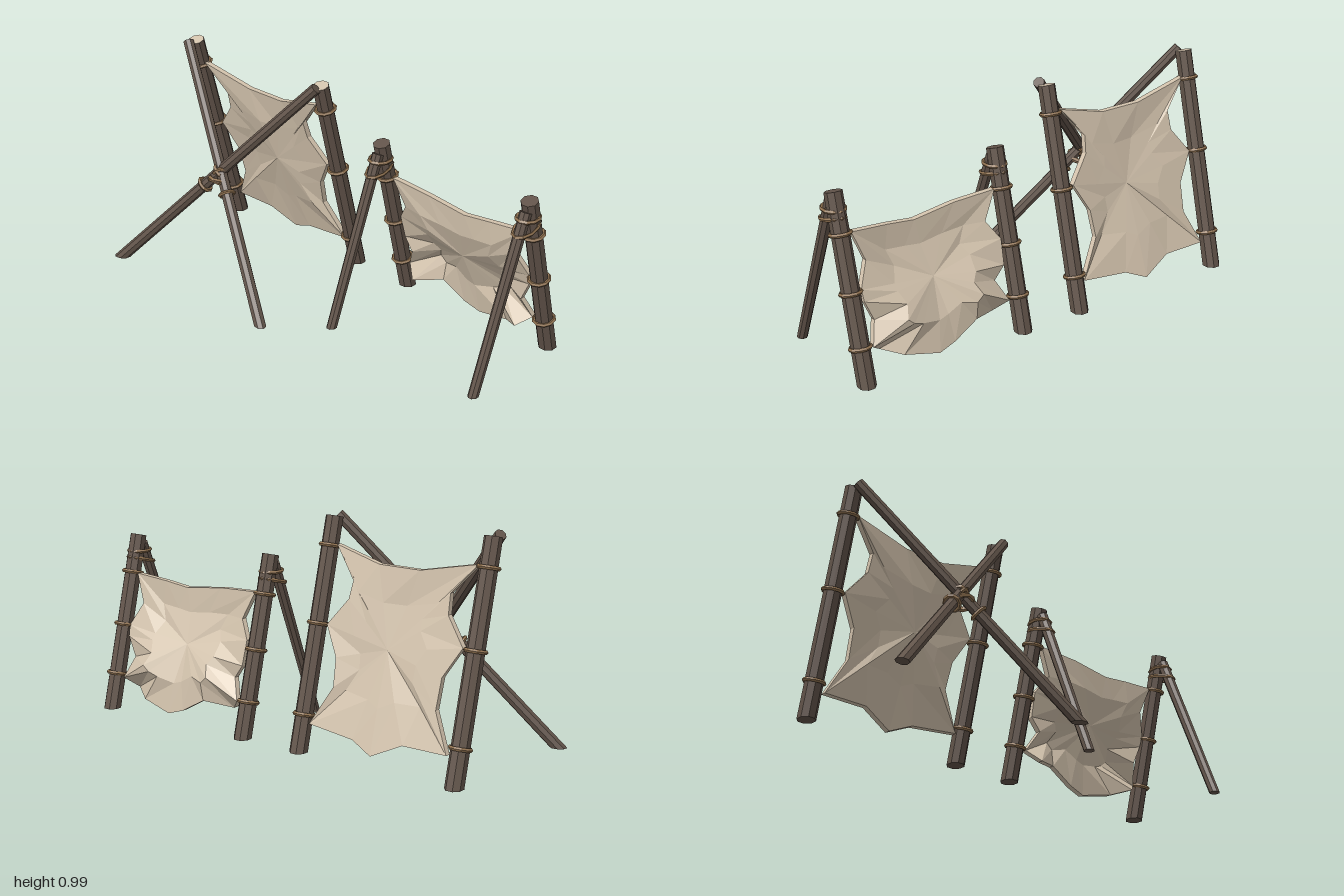
import * as THREE from 'three';

const mat = (name, color, extra = {}) => {
  const m = new THREE.MeshStandardMaterial({ color, flatShading: true, ...extra });
  m.name = name;
  return m;
};
const V = (x, y, z) => new THREE.Vector3(x, y, z);
const UP = V(0, 1, 0);

// all uprights and cloths lean along the same line
const LEAN = 0.258;
const leanX = (y) => 0.35 - LEAN * y;
const LEAN_DIR = V(-LEAN, 1, 0).normalize();

export function createModel() {
  const wood = mat('dark wood', 0x62544a);
  const rope = mat('rope', 0x8f7150);
  const hide = mat('pale hide', 0xd3c3ad, { side: THREE.DoubleSide });
  const cutWood = mat('cut wood', 0xd3c3ad);
  const root = new THREE.Group();
  root.name = 'hideRacks';

  const add = (parent, name, geo, material) => {
    const m = new THREE.Mesh(geo, material);
    m.name = name;
    parent.add(m);
    return m;
  };

  // round pole from foot to top, its foot cut level with the ground
  function pole(parent, name, foot, top, rFoot, rTop, capMat = wood) {
    const dir = top.clone().sub(foot);
    const len = dir.length();
    dir.normalize();
    const geo = new THREE.CylinderGeometry(rTop, rFoot, len, 8);
    geo.rotateY(Math.PI / 8);
    geo.translate(0, len / 2, 0);
    geo.applyQuaternion(new THREE.Quaternion().setFromUnitVectors(UP, dir));
    geo.translate(foot.x, foot.y, foot.z);
    const p = geo.attributes.position;
    for (let i = 0; i < p.count; i++) {
      const y = p.getY(i);
      if (y > 0.1) continue;
      const k = -y / dir.y;
      p.setXYZ(i, p.getX(i) + dir.x * k, 0, p.getZ(i) + dir.z * k);
    }
    geo.computeVertexNormals();
    return add(parent, name, geo, [wood, capMat, wood]);
  }

  // rope loop around an axis; rx and rz are its half widths
  function loop(parent, name, at, axis, rx, rz = rx, tube = 0.009) {
    const geo = new THREE.TorusGeometry(1, tube / rx, 5, 10);
    geo.rotateX(Math.PI / 2);
    geo.scale(rx, tube / (tube / rx), rz);
    geo.applyQuaternion(new THREE.Quaternion().setFromUnitVectors(UP, axis));
    geo.translate(at.x, at.y, at.z);
    return add(parent, name, geo, rope);
  }

  // thick stretched hide: outline [z, y, offset], sinking or bulging by a rule
  function hideSheet(parent, name, outline, cz, cy, bulge) {
    const n = outline.length, half = 0.013;
    const rings = [1, 0.55, 0].map((s) => outline.map(([z, y, d = 0]) => {
      const pz = cz + (z - cz) * s, py = cy + (y - cy) * s;
      return V(leanX(py) + (s === 1 ? d : bulge(pz, py)), py, pz);
    }));
    const pos = [];
    const tri = (...pts) => pts.forEach(([v, off]) => pos.push(v.x + off, v.y, v.z));
    for (let i = 0; i < n; i++) {
      const j = (i + 1) % n;
      for (const [off, flip] of [[half, false], [-half, true]]) {
        const face = (a, b, c) => (flip ? tri([a, off], [c, off], [b, off]) : tri([a, off], [b, off], [c, off]));
        face(rings[0][j], rings[0][i], rings[1][i]);
        face(rings[0][j], rings[1][i], rings[1][j]);
        face(rings[1][j], rings[1][i], rings[2][0]);
      }
      // rim
      const a = rings[0][i], b = rings[0][j];
      tri([a, half], [b, half], [b, -half]);
      tri([a, half], [b, -half], [a, -half]);
    }
    const geo = new THREE.BufferGeometry();
    geo.setAttribute('position', new THREE.Float32BufferAttribute(pos, 3));
    geo.computeVertexNormals();
    return add(parent, name, geo, hide);
  }

  // uprights with their tie ropes
  function uprights(parent, zs, topY, ropeYs, capMat) {
    for (const z of zs) {
      pole(parent, 'upright', V(leanX(0), 0, z), V(leanX(topY), topY, z), 0.04, 0.038, capMat);
      for (const y of ropeYs) loop(parent, 'tieRope', V(leanX(y), y, z), LEAN_DIR, 0.043);
    }
  }

  // tall rack with crossed braces
  const tall = new THREE.Group();
  tall.name = 'tallRack';
  root.add(tall);
  uprights(tall, [-0.14, -0.917], 0.97, [0.85, 0.53, 0.155], cutWood);
  for (const [z0, z1] of [[-0.075, -0.925], [-0.98, -0.13]]) {
    const foot = V(-0.363, 0, z0), top = V(0.06, 0.972, z1);
    pole(tall, 'crossBrace', foot, top, 0.027, 0.025);
    const dir = top.clone().sub(foot).normalize();
    for (const t of [0.45, 0.53]) loop(tall, 'crossLashing', foot.clone().lerp(top, t), dir, 0.033);
  }
  for (const s of [-1, 1]) {
    loop(tall, 'crossLashing', V(-0.152, 0.473, -0.527), V(0.4, 0.9, s * 0.12).normalize(), 0.042, 0.045, 0.01);
  }
  hideSheet(tall, 'tallHide', [
    [-0.185, 0.86], [-0.41, 0.805], [-0.61, 0.805], [-0.88, 0.86], [-0.77, 0.735], [-0.775, 0.65],
    [-0.865, 0.535], [-0.79, 0.41], [-0.785, 0.28], [-0.865, 0.12], [-0.655, 0.12], [-0.515, 0.055, 0.01],
    [-0.41, 0.1], [-0.18, 0.125], [-0.275, 0.29], [-0.265, 0.41], [-0.195, 0.535], [-0.285, 0.65], [-0.295, 0.735],
  ], -0.5, 0.47, (z, y) => -0.012 + 0.012 * Math.sin(z * 13 + y * 9));

  // low rack with straight braces
  const low = new THREE.Group();
  low.name = 'lowRack';
  root.add(low);
  const lowZ = [0.167, 0.947];
  uprights(low, lowZ, 0.777, [0.61, 0.375, 0.155], wood);
  for (const z of lowZ) {
    pole(low, 'backBrace', V(-0.163, 0, z), V(0.128, 0.735, z), 0.023, 0.026);
    loop(low, 'braceLashing', V(0.138, 0.662, z), LEAN_DIR, 0.072, 0.046);
    loop(low, 'braceLashing', V(0.146, 0.705, z), UP, 0.053, 0.046);
  }
  hideSheet(low, 'lowHide', [
    [0.905, 0.61], [0.735, 0.595, -0.01], [0.605, 0.58, -0.015], [0.41, 0.605, -0.01], [0.21, 0.615],
    [0.27, 0.49, -0.015], [0.215, 0.41], [0.22, 0.3], [0.265, 0.24, -0.02], [0.22, 0.15], [0.275, 0.1, -0.06],
    [0.4, 0.125, 0.01], [0.515, 0.06], [0.595, 0.035], [0.755, 0.07, -0.01], [0.84, 0.1, -0.06],
    [0.895, 0.145], [0.86, 0.24, -0.02], [0.9, 0.33], [0.905, 0.38], [0.855, 0.48, -0.015],
  ], 0.56, 0.34, (z, y) => {
    const low = THREE.MathUtils.clamp((0.42 - y) / 0.17, 0, 1);
    return -0.035 + low * (0.045 + 0.22 * Math.abs(z - 0.56));
  });

  return root;
}
